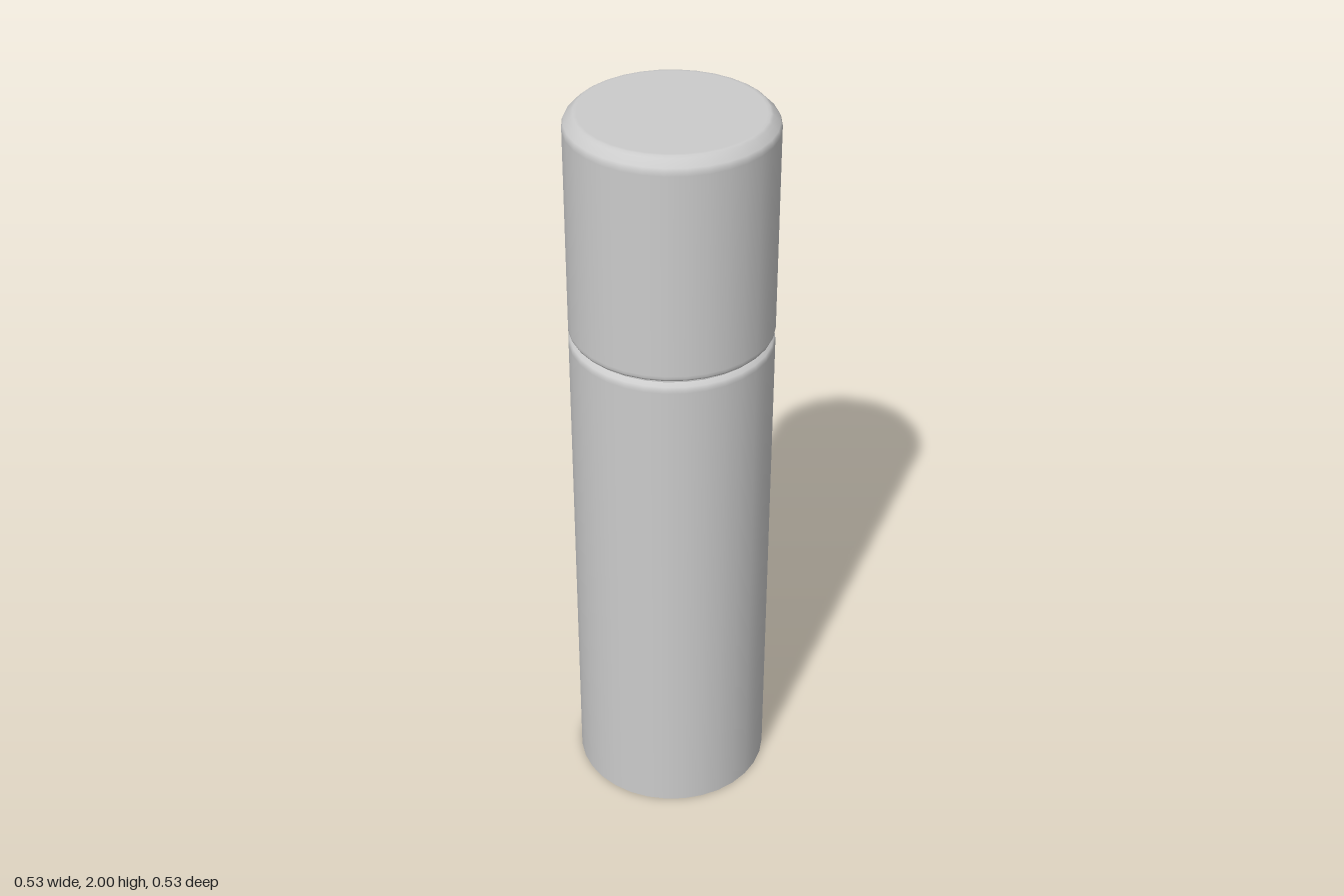
import * as THREE from 'three';

const SIDES = 32;
const RADIUS = 0.264;

// Turned shell; repeated profile points keep the edges crisp
function turned(name, profile) {
  const points = profile.map(([r, y]) => new THREE.Vector2(r, y));
  const material = new THREE.MeshStandardMaterial({ color: 0xcccccc, side: THREE.DoubleSide });
  const mesh = new THREE.Mesh(new THREE.LatheGeometry(points, SIDES), material);
  mesh.name = name;
  return mesh;
}

export function createModel() {
  const model = new THREE.Group();
  model.name = 'cappedTube';

  // Hollow body, open at the bottom, its rim rounding into the groove
  model.add(turned('body', [
    [RADIUS, 0], [RADIUS, 0.7], [RADIUS, 1.37], [RADIUS, 1.378],
    [0.261, 1.387], [0.25, 1.395],
  ]));

  // Narrow groove between body and cap
  model.add(turned('groove', [[0.25, 1.395], [0.25, 1.403]]));

  // Cap with a small lower bevel and a bevelled closed top
  model.add(turned('cap', [
    [0.25, 1.403], [0.261, 1.406], [RADIUS, 1.412], [RADIUS, 1.42],
    [RADIUS, 1.96], [RADIUS, 1.97], [0.26, 1.979], [0.243, 1.996],
    [0.236, 2], [0.228, 2], [0, 2],
  ]));

  return model;
}
